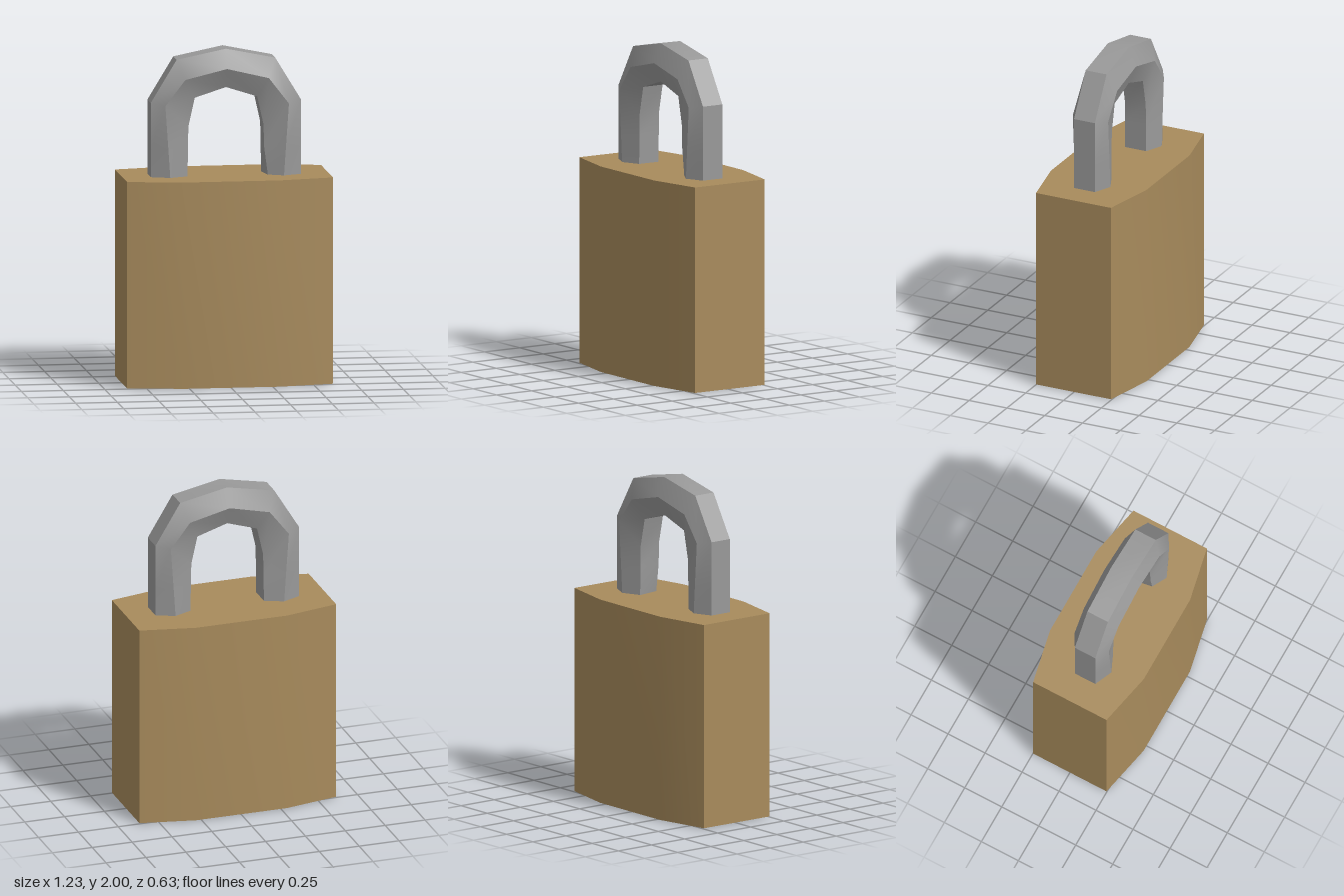
import * as THREE from 'three';
import { toCreasedNormals } from 'three/addons/utils/BufferGeometryUtils.js';

const material = (name, color) => {
  const m = new THREE.MeshStandardMaterial({ color });
  m.name = name;
  return m;
};

// Flat shape lying in xz and facing down
const faceDown = (shape, y) => new THREE.ShapeGeometry(shape).rotateX(Math.PI / 2).translate(0, y, 0);

// Hexagonal bar swept over an arch; each row gives [x, y] of the outer, middle and inner edges
function shackleGeometry() {
  const half = [
    [0.45, 1.23, 0.34, 1.23, 0.23, 1.23],
    [0.45, 1.41, 0.352, 1.41, 0.228, 1.41],
    [0.45, 1.685, 0.37, 1.67, 0.225, 1.54],
    [0.295, 1.94, 0.25, 1.825, 0.187, 1.71],
  ];
  const mirrored = half.map(r => r.map((v, i) => (i % 2 ? v : -v))).reverse();
  const rows = [...half, [0, 2, 0, 1.885, 0, 1.77], ...mirrored];
  const zMid = 0.011, zFlat = 0.069, zWide = 0.117;
  const positions = [], index = [];
  rows.forEach(([ox, oy, mx, my, ix, iy], k) => {
    const notch = k === 0 ? 0.022 : 0; // small locking cut at the foot of the left leg
    positions.push(
      ox, oy, zMid + zFlat, ox, oy, zMid - zFlat, mx, my, zMid - zWide,
      ix, iy, zMid - zFlat, ix + notch, iy, zMid + zFlat, mx, my, zMid + zWide);
    if (k === 0) return;
    for (let j = 0; j < 6; j++) {
      const a = (k - 1) * 6 + j, b = (k - 1) * 6 + (j + 1) % 6;
      index.push(a, b, b + 6, a, b + 6, a + 6);
    }
  });
  const geo = new THREE.BufferGeometry();
  geo.setAttribute('position', new THREE.Float32BufferAttribute(positions, 3));
  geo.setIndex(index);
  return toCreasedNormals(geo, 0.5);
}

export function createModel() {
  const group = new THREE.Group();
  const brass = material('brass', 0xa88b5c);
  const steel = material('steel', 0x999999);
  const dark = material('dark slot', 0x404040);
  const add = (name, geometry, mat) => {
    const mesh = new THREE.Mesh(geometry, mat);
    mesh.name = name;
    group.add(mesh);
  };

  // Body: gently bowed front and back, flat ends
  const outline = new THREE.Shape([
    [0.617, -0.248], [0.617, 0.248], [0.285, 0.317], [-0.285, 0.317],
    [-0.617, 0.248], [-0.617, -0.248], [-0.285, -0.317], [0.285, -0.317],
  ].map(p => new THREE.Vector2(...p)));
  const body = new THREE.ExtrudeGeometry(outline, { depth: 1.236, bevelEnabled: false });
  body.rotateX(-Math.PI / 2).translate(0, 0.004, 0);
  add('body', toCreasedNormals(body, 0.5), brass);

  // Shackle
  add('shackle', shackleGeometry(), steel);

  // Lock cylinder face underneath
  add('lockFace', faceDown(new THREE.Shape().absarc(0, 0, 0.217, 0, Math.PI * 2), 0.002), steel);

  // Crooked key slot, symmetric about the centre
  const side = [
    [0.015, -0.02], [0.045, 0.03], [0.03, 0.09], [0.085, 0.11],
    [0.11, 0.185], [0.04, 0.212], [0.03, 0.15], [-0.02, 0.12], [-0.005, 0.05],
  ];
  const slot = [...side, ...side.map(([x, z]) => [-x, -z])];
  add('keySlot', faceDown(new THREE.Shape(slot.map(p => new THREE.Vector2(...p))), 0), dark);

  return group;
}
